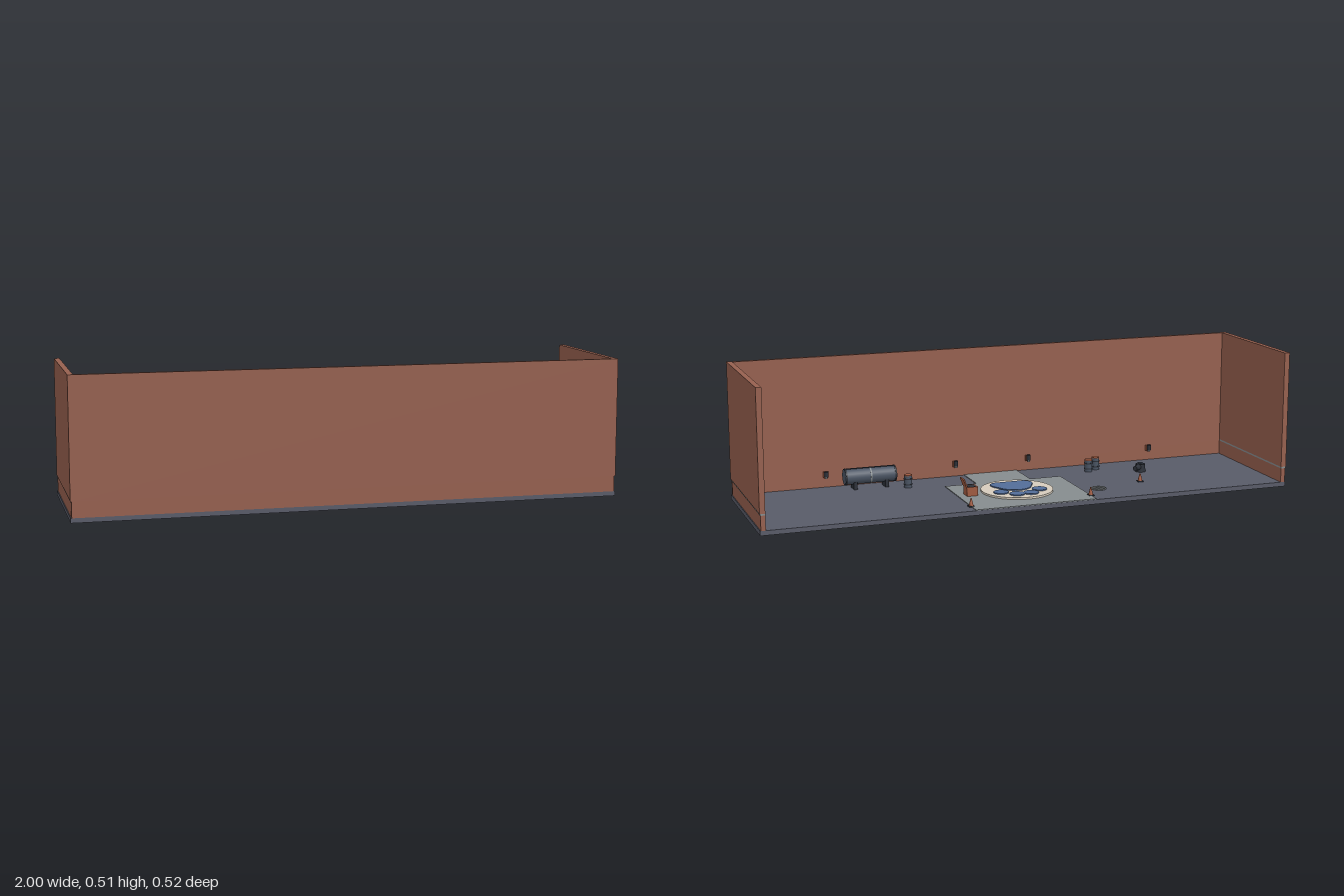
import * as THREE from 'three';

export function createModel() {
  const root = new THREE.Group();
  const mat = (name, color) => {
    const m = new THREE.MeshStandardMaterial({ color });
    m.name = name;
    return m;
  };
  const brick = mat('brick', 0x96604f), slate = mat('slate', 0x585b68);
  const paving = mat('paving', 0x868c8e), cream = mat('cream', 0xd6ccbd);
  const blue = mat('blue', 0x526d99), steel = mat('steel', 0x4b5564);
  const dark = mat('dark metal', 0x2c3038), rust = mat('rust', 0xa05a40);

  const add = (parent, name, geo, material, x = 0, y = 0, z = 0) => {
    const m = new THREE.Mesh(geo, material);
    m.name = name;
    m.position.set(x, y, z);
    parent.add(m);
    return m;
  };
  const box = (p, name, material, w, h, d, x, y, z) =>
    add(p, name, new THREE.BoxGeometry(w, h, d), material, x, y, z);
  const cyl = (p, name, material, r1, r2, h, x, y, z, n = 16) =>
    add(p, name, new THREE.CylinderGeometry(r1, r2, h, n), material, x, y, z);
  const group = (name, x, y, z) => {
    const g = new THREE.Group();
    g.name = name;
    g.position.set(x, y, z);
    root.add(g);
    return g;
  };
  const F = 0.017; // floor level

  // Floor slab and three walls, each with a slightly inset base course
  box(root, 'floor', slate, 2, F, 0.524, 0, F / 2, 0);
  box(root, 'frontWall', brick, 2, 0.436, 0.014, 0, 0.292, 0.255);
  box(root, 'frontWallBase', brick, 1.992, 0.057, 0.013, 0, 0.0455, 0.2555);
  for (const s of [-1, 1]) {
    box(root, 'sideWall', brick, 0.02, 0.434, 0.51, s * 0.99, 0.293, -0.007);
    box(root, 'sideWallBase', brick, 0.017, 0.053, 0.511, s * 0.9885, 0.0435, -0.0065);
    box(root, 'sideTrim', paving, 0.018, 0.006, 0.51, s * 0.989, 0.073, -0.007);
  }

  // Paved plaza and path
  box(root, 'plaza', paving, 0.46, 0.004, 0.36, 0, F + 0.001, -0.081);
  box(root, 'path', paving, 0.214, 0.004, 0.148, 0, F + 0.001, 0.173);

  // Round emblem with paw shape
  const emblem = group('pawEmblem', 0, F, -0.05);
  cyl(emblem, 'disc', cream, 0.134, 0.134, 0.01, 0, 0.005, 0, 40);
  const pad = new THREE.Shape();
  pad.moveTo(-0.06, -0.095);
  pad.lineTo(0.06, -0.095);
  pad.quadraticCurveTo(0.088, -0.08, 0.078, -0.045);
  pad.lineTo(0.052, 0.005);
  pad.quadraticCurveTo(0.03, 0.032, 0, 0.032);
  pad.quadraticCurveTo(-0.03, 0.032, -0.052, 0.005);
  pad.lineTo(-0.078, -0.045);
  pad.quadraticCurveTo(-0.088, -0.08, -0.06, -0.095);
  const padGeo = new THREE.ExtrudeGeometry(pad, { depth: 0.004, bevelEnabled: false });
  padGeo.rotateX(-Math.PI / 2);
  add(emblem, 'pawPad', padGeo, blue, 0, 0.01, 0);
  for (const s of [-1, 1])
    for (const [x, z] of [[0.075, -0.037], [0.027, -0.078]])
      cyl(emblem, 'pawToe', blue, 0.028, 0.028, 0.004, s * x, 0.012, z, 20);

  // Crate with its lid open
  const crate = group('crate', 0.182, F, -0.052);
  box(crate, 'crateBody', rust, 0.042, 0.034, 0.044, -0.002, 0.019, 0);
  box(crate, 'crateLid', rust, 0.005, 0.036, 0.044, 0.024, 0.05, 0).rotation.z = -0.35;
  box(crate, 'crateInside', dark, 0.032, 0.002, 0.036, -0.002, 0.0355, 0);

  // Drain cover: ring with bars
  const drain = group('drainCover', -0.298, F, -0.12);
  const ring = new THREE.TorusGeometry(0.025, 0.003, 6, 24);
  ring.rotateX(Math.PI / 2);
  add(drain, 'drainRing', ring, paving, 0, 0.002, 0);
  for (const z of [-0.011, 0, 0.011])
    box(drain, 'drainBar', paving, z ? 0.042 : 0.048, 0.004, 0.004, 0, 0.002, z);

  // Marker cones
  for (const [x, z] of [[-0.485, -0.075], [-0.23, -0.205], [0.23, -0.205]]) {
    const cone = group('cone', x, F, z);
    box(cone, 'coneBase', dark, 0.02, 0.004, 0.02, 0, 0.003, 0);
    cyl(cone, 'coneBody', rust, 0.002, 0.009, 0.028, 0, 0.018, 0, 12);
  }

  // Barrels with rust lids and dark hoops
  for (const [x, z] of [[-0.365, 0.145], [-0.405, 0.17], [0.36, 0.145]]) {
    const barrel = group('barrel', x, F, z);
    cyl(barrel, 'barrelBody', steel, 0.015, 0.015, 0.045, 0, 0.0225, 0);
    cyl(barrel, 'barrelLid', rust, 0.015, 0.015, 0.004, 0, 0.046, 0);
    for (const y of [0.012, 0.033])
      cyl(barrel, 'barrelHoop', dark, 0.0165, 0.0165, 0.004, 0, y, 0);
  }

  // Horizontal storage tank on saddles
  const tank = group('tank', 0.493, 0.063, 0.195);
  const lying = (name, m, r, h, x) => {
    cyl(tank, name, m, r, r, h, x, 0, 0, 24).rotation.z = Math.PI / 2;
  };
  lying('tankBody', steel, 0.029, 0.196, 0);
  for (const x of [-0.094, 0.094]) lying('tankEndBand', dark, 0.031, 0.006, x);
  lying('tankMiddleBand', paving, 0.03, 0.005, 0);
  box(tank, 'tankRail', dark, 0.18, 0.004, 0.006, 0, 0.029, 0);
  for (const x of [-0.06, 0.06])
    box(tank, 'tankSaddle', dark, 0.014, 0.03, 0.046, x, -0.031, 0);

  // Dark pump: upright drum with a sideways nozzle
  const pump = group('pump', -0.555, F, 0.078);
  pump.rotation.y = 0.7;
  cyl(pump, 'pumpDrum', dark, 0.018, 0.02, 0.03, 0, 0.015, 0);
  cyl(pump, 'pumpCap', steel, 0.01, 0.01, 0.004, 0, 0.032, 0);
  cyl(pump, 'pumpNozzle', dark, 0.009, 0.011, 0.035, 0.03, 0.02, 0).rotation.z = -Math.PI / 2;

  // Small lamps on the inside of the front wall
  for (const x of [-0.66, -0.15, 0.145, 0.65]) {
    const lamp = group('wallLamp', x, 0.066, 0.235);
    box(lamp, 'lampBracket', rust, 0.016, 0.022, 0.014, 0, 0, 0.006);
    cyl(lamp, 'lampHead', dark, 0.008, 0.008, 0.02, 0, 0.004, -0.006, 12);
    cyl(lamp, 'lampGlass', paving, 0.005, 0.005, 0.006, 0, -0.009, -0.006, 12);
  }
  return root;
}
